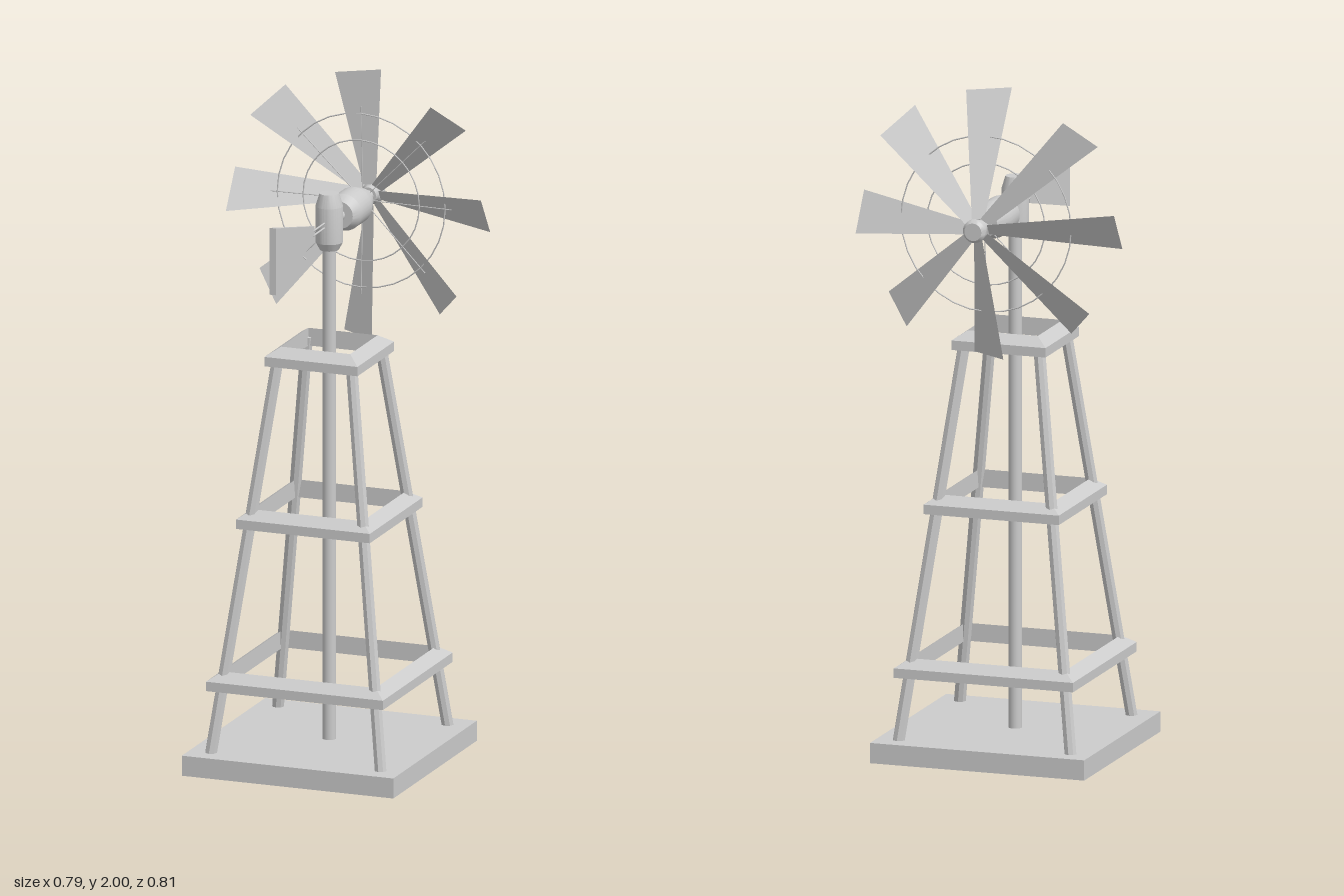
import * as THREE from 'three';
import { toCreasedNormals } from 'three/addons/utils/BufferGeometryUtils.js';

const TOWER_Z = -0.04; // tower axis
const AXLE_Y = 1.605; // rotor axis height

export function createModel() {
  const model = new THREE.Group();
  const smooth = new THREE.MeshStandardMaterial({ color: 0xcccccc });
  const flat = new THREE.MeshStandardMaterial({ color: 0xcccccc, flatShading: true });
  const thin = new THREE.MeshStandardMaterial({ color: 0xcccccc, flatShading: true, side: THREE.DoubleSide });

  const add = (name, geometry, material = flat, parent = model) => {
    const mesh = new THREE.Mesh(geometry, material);
    mesh.name = name;
    parent.add(mesh);
    return mesh;
  };
  const turned = (points, segments = 32) => toCreasedNormals(
    new THREE.LatheGeometry(points.map(([r, y]) => new THREE.Vector2(r, y)), segments), 0.35);
  const rod = (name, a, b, radius, sides, material = flat, parent = model) => {
    const dir = new THREE.Vector3().subVectors(b, a);
    const mesh = add(name, new THREE.CylinderGeometry(radius, radius, dir.length(), sides), material, parent);
    mesh.position.addVectors(a, b).multiplyScalar(0.5);
    mesh.quaternion.setFromUnitVectors(new THREE.Vector3(0, 1, 0), dir.normalize());
    return mesh;
  };

  // Base slab
  add('base', new THREE.BoxGeometry(0.655, 0.06, 0.655)).position.set(0, 0.03, TOWER_Z);

  // Four leaning legs
  for (const sx of [-1, 1]) {
    for (const sz of [-1, 1]) {
      rod('leg',
        new THREE.Vector3(sx * 0.263, 0.055, TOWER_Z + sz * 0.263),
        new THREE.Vector3(sx * 0.113, 1.225, TOWER_Z + sz * 0.113), 0.018, 8);
    }
  }

  // Square braces with a sloped top: [bottom height, outer half width]
  for (const [y, half] of [[0.245, 0.274], [0.72, 0.207], [1.197, 0.144]]) {
    const inner = half - 0.037;
    const section = [[inner, 0], [half, 0], [half, 0.028], [inner, 0.053], [inner, 0]]
      .map(([r, h]) => new THREE.Vector2(r * Math.SQRT2, h));
    add('brace', new THREE.LatheGeometry(section, 4, Math.PI / 4)).position.set(0, y, TOWER_Z);
  }

  // Central mast and swivel head
  const mast = add('mast', new THREE.CylinderGeometry(0.02, 0.02, 1.48, 24), smooth);
  mast.position.set(0, 0.79, TOWER_Z);
  const head = add('swivelHead', turned(
    [[0, 1.525], [0.028, 1.525], [0.04, 1.548], [0.04, 1.655], [0.028, 1.693], [0, 1.693]]), smooth);
  head.position.z = TOWER_Z;

  // Axle, gearbox and hub share one axis running backward
  const alongAxle = (name, points) => {
    add(name, turned(points).rotateX(-Math.PI / 2), smooth).position.y = AXLE_Y;
  };
  alongAxle('axle', [[0, 0.05], [0.016, 0.05], [0.016, 0.37], [0, 0.37]]);
  alongAxle('gearbox', [[0, 0.123], [0.04, 0.123], [0.055, 0.155], [0.055, 0.235], [0.036, 0.295], [0, 0.295]]);
  alongAxle('hub', [[0, 0.345], [0.024, 0.345], [0.026, 0.368], [0.034, 0.38], [0.034, 0.394], [0.026, 0.404], [0, 0.404]]);

  // Rotor: eight pitched blades swept toward the front, with wire spokes and rings
  const rotor = new THREE.Group();
  rotor.name = 'rotor';
  rotor.position.y = AXLE_Y;
  model.add(rotor);
  const bladeGeometry = new THREE.PlaneGeometry(1, 1);
  const corners = bladeGeometry.attributes.position;
  for (let i = 0; i < corners.count; i++) {
    const side = Math.sign(corners.getX(i));
    const tip = corners.getY(i) > 0;
    const halfWidth = tip ? 0.057 : 0.016;
    corners.setXYZ(i, side * halfWidth, tip ? 0.395 : 0.03, (tip ? -0.265 : -0.358) - side * halfWidth * 0.64);
  }
  bladeGeometry.computeVertexNormals();
  for (let i = 0; i < 8; i++) {
    const arm = new THREE.Group();
    arm.name = 'bladeArm';
    arm.rotation.z = (i * Math.PI) / 4;
    rotor.add(arm);
    add('blade', bladeGeometry, thin, arm);
    rod('spoke', new THREE.Vector3(0, 0.01, -0.3), new THREE.Vector3(0, 0.28, -0.29), 0.0015, 6, smooth, arm);
  }
  for (const radius of [0.18, 0.26]) {
    add('wireRing', new THREE.TorusGeometry(radius, 0.002, 6, 32), smooth, rotor).position.z = -0.29;
  }

  // Tail vane, flaring and thickening toward its end
  const vaneGeometry = new THREE.BoxGeometry(1, 1, 1);
  const p = vaneGeometry.attributes.position;
  for (let i = 0; i < p.count; i++) {
    const far = p.getZ(i) > 0;
    p.setXYZ(i, Math.sign(p.getX(i)) * (far ? 0.01 : 0.002),
      AXLE_Y + Math.sign(p.getY(i)) * (far ? 0.1 : 0.021), far ? 0.404 : 0.082);
  }
  vaneGeometry.computeVertexNormals();
  add('tailVane', vaneGeometry);
  for (const dy of [-0.007, 0.007]) {
    rod('tailRod', new THREE.Vector3(0, AXLE_Y + dy, -0.03), new THREE.Vector3(0, AXLE_Y + dy, 0.09), 0.003, 8, smooth);
  }

  return model;
}
